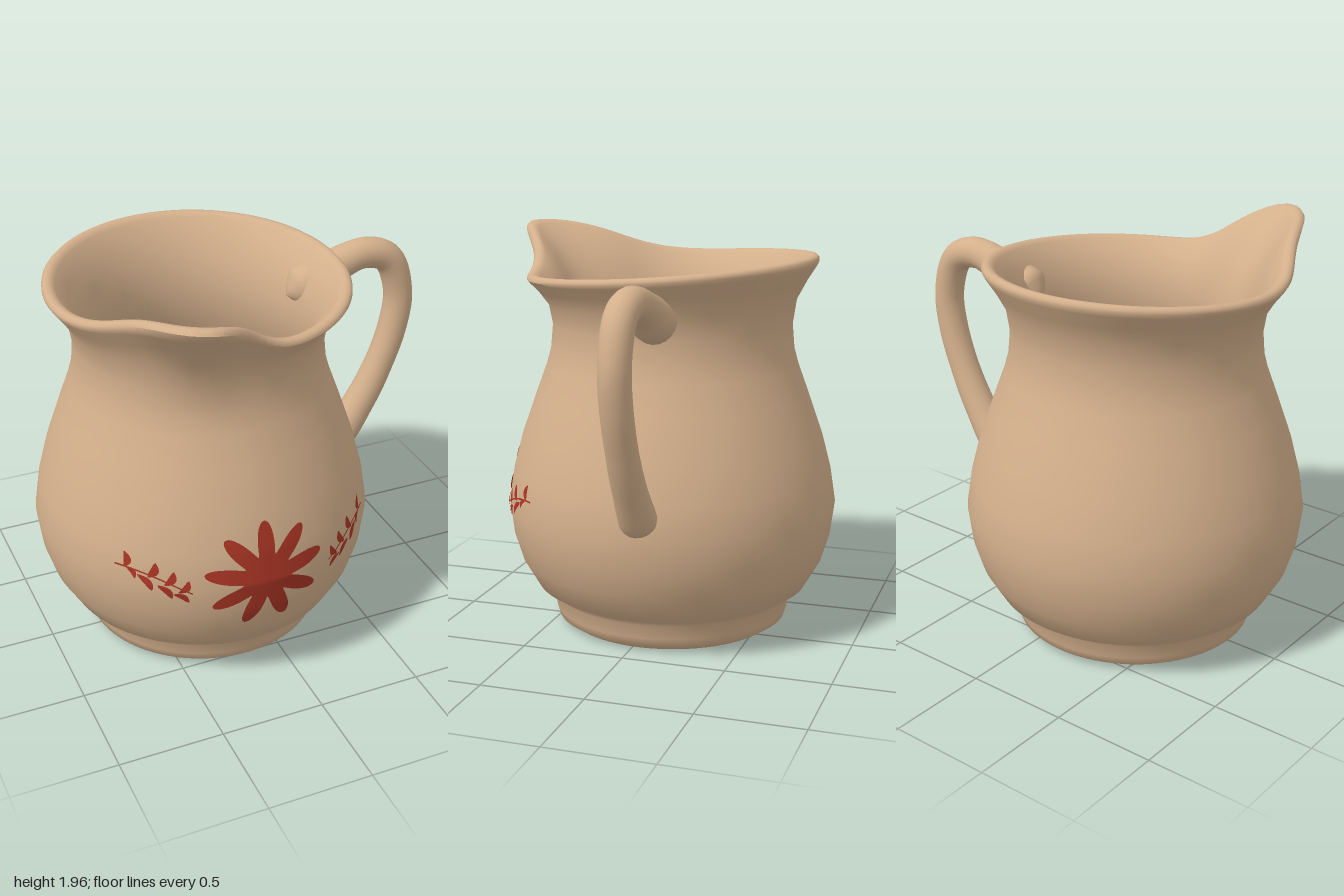
import * as THREE from 'three';
import { toCreasedNormals } from 'three/addons/utils/BufferGeometryUtils.js';

const CX = -0.185, CZ = -0.03; // body axis

// [radius, height] of the outer wall, foot to lip
const OUTER = [
  [0.53, 0], [0.575, 0.03], [0.587, 0.07], [0.598, 0.14], [0.612, 0.16], [0.68, 0.2],
  [0.755, 0.33], [0.795, 0.46], [0.815, 0.62], [0.79, 0.78], [0.745, 0.95], [0.675, 1.15],
  [0.62, 1.3], [0.598, 1.38], [0.587, 1.5], [0.605, 1.61], [0.655, 1.69], [0.698, 1.745],
];
const LIP = [[0.709, 0.762], [0.708, 0.776], [0.697, 0.787], [0.68, 0.79], [0.662, 0.784], [0.648, 0.772]]
  .map(([r, y]) => [r, y + 1]);
const INNER = [
  [0.6, 1.71], [0.55, 1.62], [0.525, 1.5], [0.53, 1.38], [0.555, 1.28], [0.61, 1.13],
  [0.68, 0.93], [0.725, 0.77], [0.75, 0.62], [0.73, 0.46], [0.69, 0.34], [0.61, 0.22],
  [0.54, 0.17], [0.5, 0.165],
];

const lerpTable = (table, t, key, val) => {
  for (let i = 1; i < table.length; i++) {
    const a = table[i - 1], b = table[i];
    if (t <= b[key]) return a[val] + (b[val] - a[val]) * (t - a[key]) / (b[key] - a[key]);
  }
  return table[table.length - 1][val];
};

// Move every vertex of a geometry by a rule
function deform(geo, rule) {
  const p = geo.attributes.position, v = new THREE.Vector3();
  for (let i = 0; i < p.count; i++) {
    v.fromBufferAttribute(p, i);
    rule(v, i);
    p.setXYZ(i, v.x, v.y, v.z);
  }
  return geo;
}

// Turned body, its rim tilted and pulled out into a spout
function bodyGeometry() {
  const pts = [[0, 0], [0.51, 0], ...OUTER, ...LIP, ...INNER, [0, 0.165]].map(([r, y]) => new THREE.Vector2(r, y));
  const bump = (d, left, right) => Math.exp(-((d / (d > 0 ? left : right)) ** 2) / 2);
  const geo = deform(new THREE.LatheGeometry(pts, 120), (v) => {
    const w = THREE.MathUtils.clamp((v.y - 1.45) / 0.33, 0, 1) ** 1.5;
    if (w === 0) return;
    let d = THREE.MathUtils.radToDeg(Math.atan2(v.z, v.x)) - 109;
    if (d < -180) d += 360;
    const pull = 1 + 0.3 * w * bump(d, 14, 9);
    v.x *= pull;
    v.z *= pull;
    v.y += w * (0.23 * bump(d, 26, 13) - 0.075 * v.z);
  });
  geo.translate(CX, 0, CZ);
  return toCreasedNormals(geo, 0.75);
}

// Tapered, round-ended handle
function handleGeometry() {
  const path = new THREE.CatmullRomCurve3([
    [0.31, 1.56], [0.41, 1.595], [0.54, 1.66], [0.72, 1.712], [0.855, 1.665], [0.925, 1.48],
    [0.905, 1.28], [0.81, 1.02], [0.69, 0.81], [0.58, 0.66],
  ].map(([x, y]) => new THREE.Vector3(x, y, -0.125)));
  const radii = [
    [0, 0], [0.021, 0.06], [0.045, 0.105], [0.08, 0.105], [0.14, 0.088], [0.23, 0.077], [0.45, 0.073],
    [0.7, 0.073], [0.85, 0.08], [0.95, 0.09], [0.98, 0.075], [1, 0],
  ];
  const segs = 64, sides = 20;
  const geo = deform(new THREE.TubeGeometry(path, segs, 1, sides), (v, i) => {
    const u = Math.floor(i / (sides + 1)) / segs;
    const c = path.getPointAt(u);
    v.sub(c).multiplyScalar(lerpTable(radii, u, 0, 1)).add(c);
  });
  return toCreasedNormals(geo, 0.9);
}

// Painted patch: rule(u, v) gives [x, y] about the axis, laid onto the front of the body
function paintGeometry(nu, nv, rule) {
  const geo = deform(new THREE.PlaneGeometry(1, 1, nu, nv), (p) => {
    const [x, y] = rule(p.x + 0.5, p.y + 0.5);
    const r = lerpTable(OUTER, y, 1, 0);
    p.set(CX + x, y, CZ + Math.sqrt(r * r - x * x) + 0.006);
  });
  geo.computeVertexNormals();
  return geo;
}

// Nine-petalled flower
const flowerGeometry = () => paintGeometry(10, 216, (u, v) => {
  const a = v * Math.PI * 2;
  const r = u * (0.115 + 0.165 * Math.abs(Math.cos(4.5 * (a - Math.PI / 2))) ** 1.6);
  return [r * 1.04 * Math.cos(a), 0.645 + r * 0.97 * Math.sin(a)];
});

// Leaf centred at x, y, turned by an angle in degrees
const leafGeometry = (side, x, y, deg, length, width) => paintGeometry(10, 4, (u, v) => {
  const a = THREE.MathUtils.degToRad(deg);
  const s = (u - 0.5) * length;
  const t = (v - 0.5) * width * Math.sin(Math.PI * u) ** 0.7 + 0.012 * Math.sin(Math.PI * u);
  return [side * (x + s * Math.cos(a) - t * Math.sin(a)), y + s * Math.sin(a) + t * Math.cos(a)];
});

// Thin curved stem of a sprig
const stemGeometry = (side) => paintGeometry(24, 1, (u, v) =>
  [side * (0.34 + 0.285 * u), 0.6 + 0.1 * Math.sin(u * Math.PI / 2) + (v - 0.5) * 0.008]);

export function createModel() {
  const clay = new THREE.MeshStandardMaterial({ color: 0xd4b08c });
  clay.name = 'clay';
  const red = new THREE.MeshStandardMaterial({ color: 0xa83424, side: THREE.DoubleSide });
  red.name = 'redPaint';

  const model = new THREE.Group();
  model.name = 'pitcher';
  const add = (parent, name, geo, mat) => {
    const mesh = new THREE.Mesh(geo, mat);
    mesh.name = name;
    parent.add(mesh);
  };

  add(model, 'body', bodyGeometry(), clay);
  add(model, 'handle', handleGeometry(), clay);
  add(model, 'flower', flowerGeometry(), red);

  // Sprigs: x, y, angle, length, width
  const leaves = [
    [0.375, 0.635, 125, 0.08, 0.03], [0.385, 0.57, 35, 0.08, 0.03],
    [0.43, 0.672, 120, 0.085, 0.032], [0.45, 0.6, 50, 0.09, 0.032],
    [0.495, 0.705, 115, 0.085, 0.032], [0.525, 0.637, 55, 0.09, 0.032],
    [0.59, 0.735, 95, 0.08, 0.026], [0.575, 0.675, 60, 0.06, 0.022],
  ];
  for (const side of [1, -1]) {
    const sprig = new THREE.Group();
    sprig.name = side > 0 ? 'leftSprig' : 'rightSprig';
    add(sprig, 'stem', stemGeometry(side), red);
    for (const leaf of leaves) add(sprig, 'leaf', leafGeometry(side, ...leaf), red);
    model.add(sprig);
  }
  return model;
}
